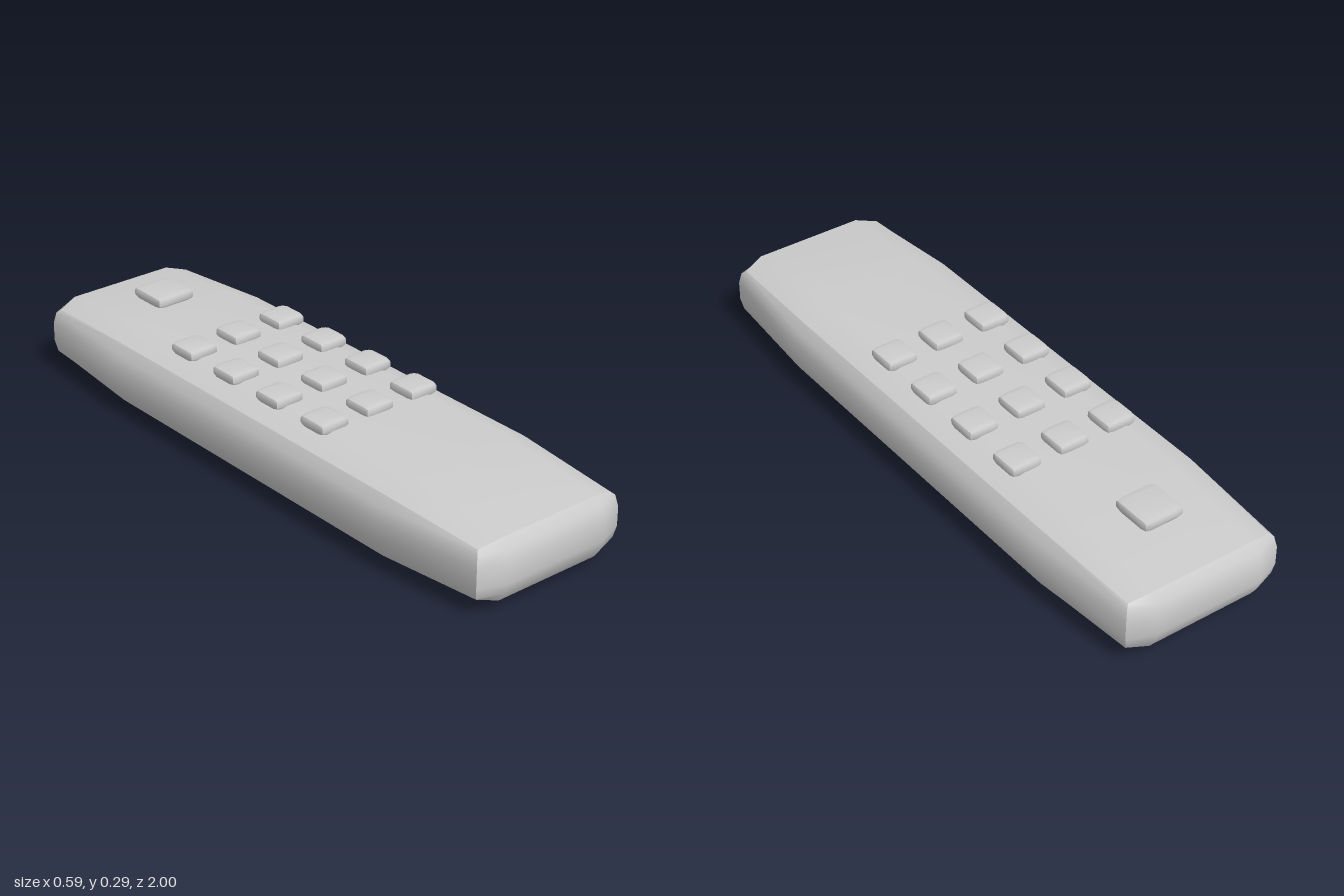
import * as THREE from 'three';

// A cushion-shaped box with six smooth faces and sharp edges.
// half: extent per axis; drop: how far each face sinks towards its edges;
// levels: per axis, [distance from centre, sink weight] from the middle outward
// (the rim itself is added as the last level, with weight 1).
function cushion(half, drop, levels) {
  const axisLevels = levels.map((list) => {
    const all = [...list, [0, 1]];
    return [
      ...all.slice().reverse().map(([p, w]) => ({ s: -1, p, w })),
      ...all.map(([p, w]) => ({ s: 1, p, w })),
    ];
  });
  const place = (l) => l.map((v, a) => {
    if (v.w < 1) return v.s * v.p;
    const u = l[(a + 1) % 3].w, w = l[(a + 2) % 3].w;
    return v.s * (half[a] - drop[a] * (u + w - 0.45 * u * w));
  });
  const positions = [], indices = [];
  for (let a = 0; a < 3; a++) {
    const b = (a + 1) % 3, c = (a + 2) % 3;
    for (const s of [-1, 1]) {
      const start = positions.length / 3;
      const nb = axisLevels[b].length, nc = axisLevels[c].length;
      for (const lb of axisLevels[b]) {
        for (const lc of axisLevels[c]) {
          const l = [];
          l[a] = { s, p: 0, w: 1 };
          l[b] = lb;
          l[c] = lc;
          positions.push(...place(l));
        }
      }
      for (let i = 0; i < nb - 1; i++) {
        for (let j = 0; j < nc - 1; j++) {
          const p = start + i * nc + j, q = p + nc;
          if (s > 0) indices.push(p, q, q + 1, p, q + 1, p + 1);
          else indices.push(p, q + 1, q, p, p + 1, q + 1);
        }
      }
    }
  }
  const geometry = new THREE.BufferGeometry();
  geometry.setAttribute('position', new THREE.Float32BufferAttribute(positions, 3));
  geometry.setIndex(indices);
  geometry.computeVertexNormals();
  return geometry;
}

export function createModel() {
  const group = new THREE.Group();
  group.name = 'remoteControl';
  const grey = new THREE.MeshStandardMaterial({ color: 0xcccccc });
  grey.name = 'lightGrey';

  const add = (name, geometry, x, y, z) => {
    const mesh = new THREE.Mesh(geometry, grey);
    mesh.name = name;
    mesh.position.set(x, y, z);
    group.add(mesh);
  };

  // Long casing, tapering towards both ends
  add('casing', cushion(
    [0.293, 0.13, 1], [0.033, 0.035, 0.033],
    [[[0.177, 0]], [[0.03, 0], [0.066, 0.4]], [[0.6, 0]]],
  ), 0, 0.13, 0);

  // Keys
  const key = (r, inner) => cushion(
    [r, 0.019, r], [0.004, 0.0045, 0.004],
    [[[inner, 0]], [[0.007, 0]], [[inner, 0]]],
  );
  add('powerButton', key(0.068, 0.042), 0, 0.269, -0.735);
  const small = key(0.051, 0.031);
  for (const z of [-0.36, -0.16, 0.04, 0.24]) {
    for (const x of [-0.165, 0, 0.165]) add('keypadButton', small, x, 0.269, z);
  }
  return group;
}
